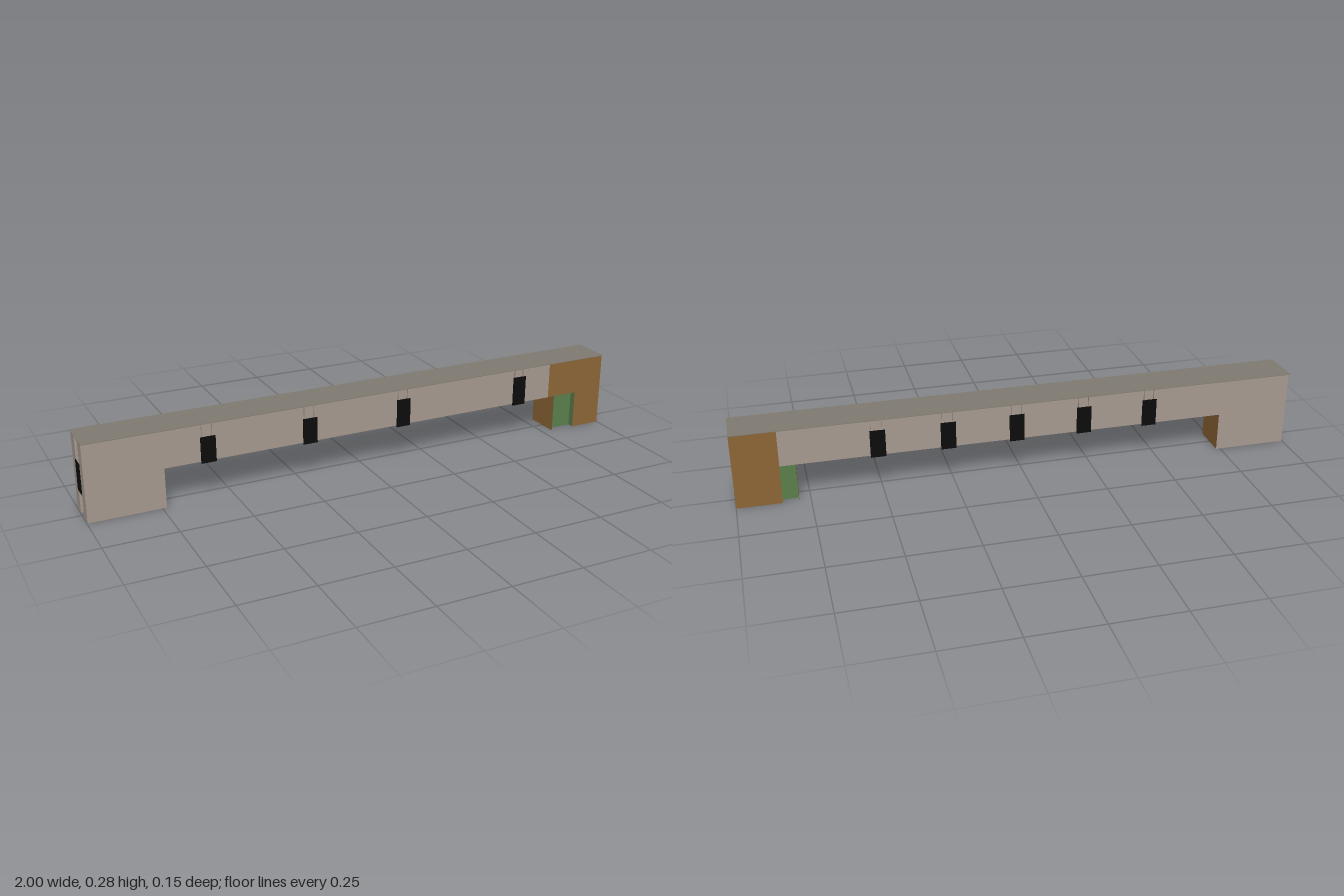
import * as THREE from 'three';

const flat = (name, color) => new THREE.MeshStandardMaterial({ name, color, side: THREE.DoubleSide });

export function createModel() {
  const stone = flat('stone grey', 0xa69a8f);
  const roofGrey = flat('roof grey', 0x807b71);
  const timber = flat('timber brown', 0x8d6637);
  const green = flat('door green', 0x5a804c);
  const black = flat('sign black', 0x0c0c0c);

  const model = new THREE.Group();
  const H = 0.275, SOFFIT = 0.14, D = 0.065, EAVE = 0.073;

  const add = (name, geometry, material, parent = model) => {
    const mesh = new THREE.Mesh(geometry, material);
    mesh.name = name;
    parent.add(mesh);
    return mesh;
  };
  // Flat wall facing front or back, outlined by [x, y] points
  const wall = (name, points, z, material) => {
    const shape = new THREE.Shape(points.map(([x, y]) => new THREE.Vector2(x, y)));
    const geometry = new THREE.ShapeGeometry(shape);
    if (z < 0) geometry.scale(-1, 1, 1).rotateY(Math.PI);
    add(name, geometry, material).position.z = z;
  };
  const rect = (x0, x1, y0, y1) => [[x0, y0], [x1, y0], [x1, y1], [x0, y1]];
  // Sheet across the depth, facing sideways
  const crossWall = (name, x, y0, y1, z0, z1, material) => {
    const geometry = new THREE.PlaneGeometry(z1 - z0, y1 - y0).rotateY(x > 0 ? Math.PI / 2 : -Math.PI / 2);
    add(name, geometry, material).position.set(x, (y0 + y1) / 2, (z0 + z1) / 2);
  };
  // Horizontal sheet seen from below
  const ceiling = (name, x0, x1, z0, z1, material) => {
    const geometry = new THREE.PlaneGeometry(x1 - x0, z1 - z0).rotateX(Math.PI / 2);
    add(name, geometry, material).position.set((x0 + x1) / 2, SOFFIT, (z0 + z1) / 2);
  };

  // Overhanging roof sheet
  add('roof', new THREE.BoxGeometry(2, 0.002, EAVE * 2), roofGrey).position.y = H - 0.001;

  // Long side walls, each with a leg at the right end
  const longWall = (end) => [[-0.998, 0], [-0.735, 0], [-0.735, SOFFIT], [end, SOFFIT], [end, H], [-0.998, H]];
  wall('frontWall', longWall(0.762), D, stone);
  wall('backWall', longWall(0.845), -D, stone);

  // Timber cladding of the left end
  wall('frontCladding', [[0.762, SOFFIT], [0.885, SOFFIT], [0.885, 0], [1, 0], [1, H], [0.762, H]], D, timber);
  wall('backCladding', rect(0.845, 1, 0, H), -D, timber);
  crossWall('leftEndWall', 1, 0, H, -D, D, timber);
  crossWall('leftLegInnerWall', 0.79, 0, SOFFIT, -D, D, timber);
  crossWall('rightLegInnerWall', -0.735, 0, SOFFIT, -D, D, timber);
  ceiling('soffit', -0.735, 0.79, -D, D, timber);

  // Recessed green doors on both sides of the left leg
  for (const [name, side, end] of [['front', 1, 0.885], ['back', -1, 0.845]]) {
    const inner = 0.041 * side;
    const z0 = Math.min(inner, D * side), z1 = Math.max(inner, D * side);
    wall(name + 'Door', rect(0.79, end, 0, SOFFIT), inner, green);
    crossWall(name + 'DoorJamb', end, 0, SOFFIT, z0, z1, green);
    ceiling(name + 'DoorHead', 0.79, end, z0, z1, green);
  }

  // Right end: two piers with a recessed slot between them
  for (const s of [-1, 1]) {
    crossWall('endPier', -0.998, 0, H, s > 0 ? 0.022 : -D, s > 0 ? D : -0.022, stone);
    wall('slotReturn', rect(-0.998, -0.975, 0, H), s * 0.022, stone);
  }
  crossWall('slotPanel', -0.975, 0.08, H, -0.022, 0.022, stone);

  // Black sign hung from the eaves on two thin brackets
  const sign = (x, top, side) => {
    const group = new THREE.Group();
    group.name = side > 0 ? 'frontSign' : 'backSign';
    for (const s of [-1, 1]) {
      add('bracket', new THREE.BoxGeometry(0.005, H - SOFFIT - 0.002, 0.007), stone, group)
        .position.set(s * 0.018, (H + SOFFIT) / 2 - 0.001, D + 0.0035);
    }
    const bottom = 0.136;
    add('signPlate', new THREE.BoxGeometry(0.053, top - bottom, 0.002), black, group)
      .position.set(0, (top + bottom) / 2, EAVE - 0.001);
    group.position.x = x;
    if (side < 0) group.rotation.y = Math.PI;
    model.add(group);
  };
  [[-0.585, 0.229], [-0.22, 0.229], [0.14, 0.238], [0.625, 0.245]].forEach(([x, top]) => sign(x, top, 1));
  for (let i = 0; i < 5; i++) sign(0.513 - i * 0.243, 0.236, -1);

  // Sign in the right end slot
  add('endSign', new THREE.BoxGeometry(0.002, 0.108, 0.05), black).position.set(-0.999, 0.137, 0);

  return model;
}
